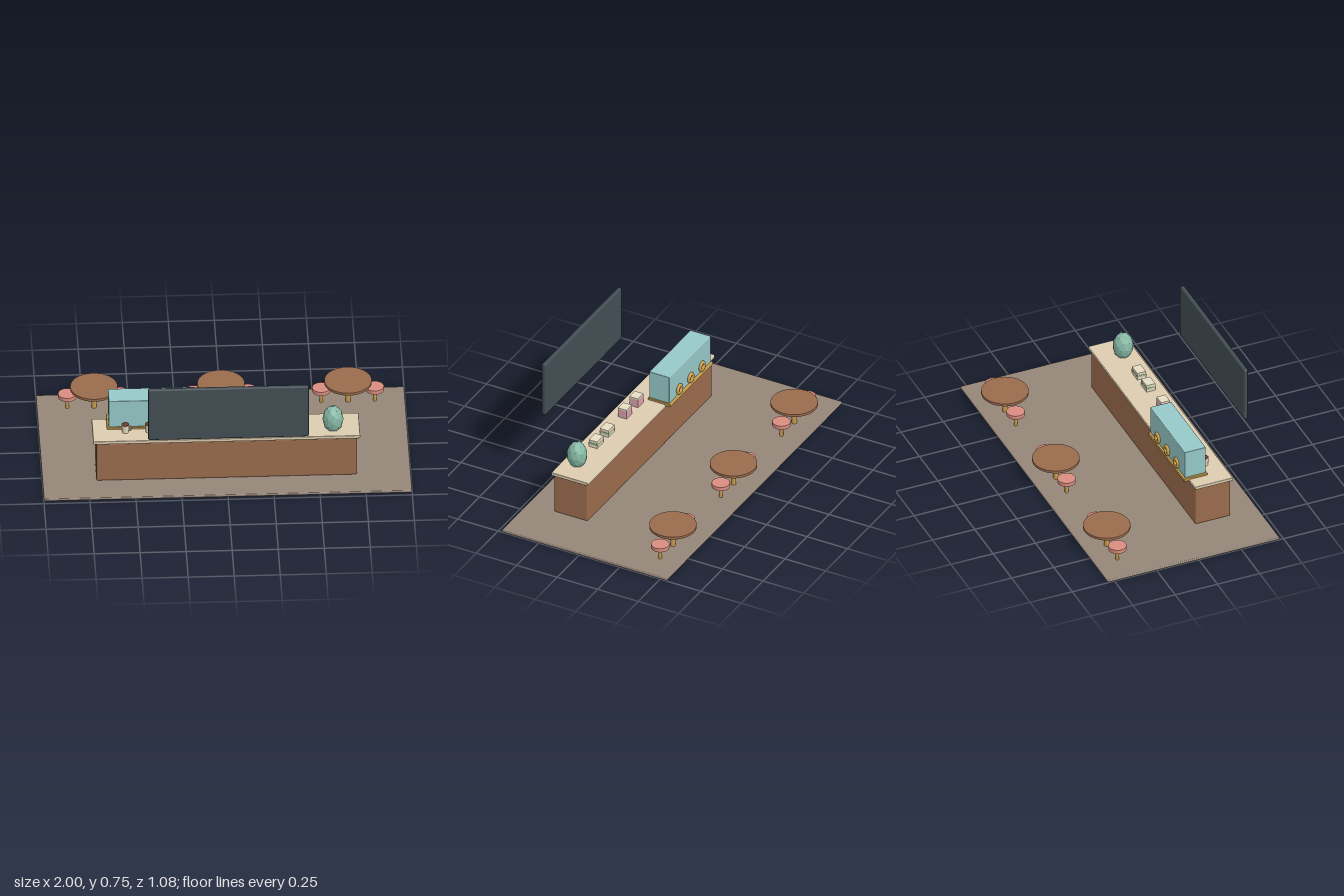
import * as THREE from 'three';
import { RoundedBoxGeometry } from 'three/addons/geometries/RoundedBoxGeometry.js';

const mat = (color, flat = false) => new THREE.MeshStandardMaterial({ color, flatShading: flat });
const wood = mat(0x9a6b4c), stone = mat(0xdccbb0), gold = mat(0xc69c4b), pink = mat(0xd98c80);
const teal = mat(0x96c8c8), dark = mat(0x434d53), floorMat = mat(0x948578), coffee = mat(0x6b3f2a);
const cream = mat(0xe6dcc4), rose = mat(0xd9a0ac), green = mat(0x9cb08a), leaf = mat(0x86b8a4, true);

function add(parent, name, geometry, material, x = 0, y = 0, z = 0) {
  const mesh = new THREE.Mesh(geometry, material);
  mesh.name = name;
  mesh.position.set(x, y, z);
  parent.add(mesh);
  return mesh;
}

// Box given by its [min, max] extents; a bevel radius rounds its edges
function block(parent, name, material, [x0, x1], [y0, y1], [z0, z1], bevel = 0) {
  const size = [x1 - x0, y1 - y0, z1 - z0];
  const geometry = bevel ? new RoundedBoxGeometry(...size, 2, bevel) : new THREE.BoxGeometry(...size);
  return add(parent, name, geometry, material, (x0 + x1) / 2, (y0 + y1) / 2, (z0 + z1) / 2);
}

// Upright cylinder between two heights
function disc(parent, name, material, r, y0, y1, x = 0, z = 0, sides = 32, rBottom = r) {
  return add(parent, name, new THREE.CylinderGeometry(r, rBottom, y1 - y0, sides), material, x, (y0 + y1) / 2, z);
}

function group(parent, name, x = 0, y = 0, z = 0) {
  const g = new THREE.Group();
  g.name = name;
  g.position.set(x, y, z);
  parent.add(g);
  return g;
}

export function createModel() {
  const model = new THREE.Group();
  model.name = 'cafe';
  const top = 0.277;

  block(model, 'floor', floorMat, [-1, 1], [0, 0.015], [-0.54, 0.478], 0.005);

  // Service counter
  block(model, 'counterBody', wood, [-0.708, 0.708], [0.015, 0.259], [0.106, 0.314], 0.01);
  block(model, 'counterTop', stone, [-0.725, 0.725], [0.257, top], [0.098, 0.322], 0.004);

  // Menu board hanging in front of the counter
  block(model, 'menuBoard', dark, [-0.436, 0.436], [0.421, 0.747], [0.513, 0.538], 0.008);

  // Display case on a gilt tray, pastry rings on its back
  block(model, 'caseTray', gold, [-0.646, -0.16], [0.268, 0.288], [0.066, 0.206], 0.004);
  block(model, 'displayCase', teal, [-0.636, -0.166], [0.288, 0.456], [0.075, 0.2], 0.004);
  for (const i of [-1, 0, 1]) {
    add(model, 'pastryRing', new THREE.TorusGeometry(0.022, 0.01, 10, 24), gold, -0.402 + i * 0.128, 0.322, 0.071);
  }

  // Coffee cups
  for (const i of [-1, 0, 1]) {
    const cup = group(model, 'coffeeCup', -0.419 + i * 0.128, top, 0.232);
    disc(cup, 'cupBody', cream, 0.021, 0, 0.047, 0, 0, 20, 0.018);
    disc(cup, 'coffee', coffee, 0.019, 0.044, 0.049, 0, 0, 20);
    add(cup, 'cupHandle', new THREE.TorusGeometry(0.013, 0.004, 8, 16), cream, 0.022, 0.025, 0);
  }

  // Cake slices with icing
  for (const x of [-0.094, 0.035]) {
    const cake = group(model, 'cakeSlice', x, top, 0.24);
    block(cake, 'cakeBody', rose, [-0.031, 0.031], [0, 0.048], [-0.026, 0.026]);
    block(cake, 'cakeIcing', cream, [-0.031, 0.031], [0.048, 0.057], [-0.026, 0.026]);
  }

  // Layered sandwiches
  for (const x of [0.237, 0.363]) {
    const sandwich = group(model, 'sandwich', x, top, 0.24);
    block(sandwich, 'lowerBread', cream, [-0.036, 0.036], [0, 0.016], [-0.026, 0.026]);
    block(sandwich, 'filling', green, [-0.037, 0.037], [0.016, 0.028], [-0.027, 0.027]);
    block(sandwich, 'upperBread', cream, [-0.036, 0.036], [0.028, 0.043], [-0.026, 0.026]);
  }

  // Faceted shrub
  add(model, 'shrub', new THREE.IcosahedronGeometry(0.057, 1), leaf, 0.58, 0.336, 0.24).scale.y = 1.42;

  // Tables, each with a pair of stools
  for (const x of [-0.69, 0, 0.69]) {
    const set = group(model, 'tableSet', x, 0, -0.411);
    disc(set, 'tableTop', wood, 0.129, 0.135, 0.15);
    disc(set, 'tableLeg', gold, 0.014, 0.014, 0.136, 0, 0, 16);
    for (const side of [-1, 1]) {
      disc(set, 'stoolSeat', pink, 0.05, 0.084, 0.107, side * 0.145, 0, 24);
      disc(set, 'stoolLeg', gold, 0.01, 0.014, 0.085, side * 0.145, 0, 12);
    }
  }
  return model;
}
